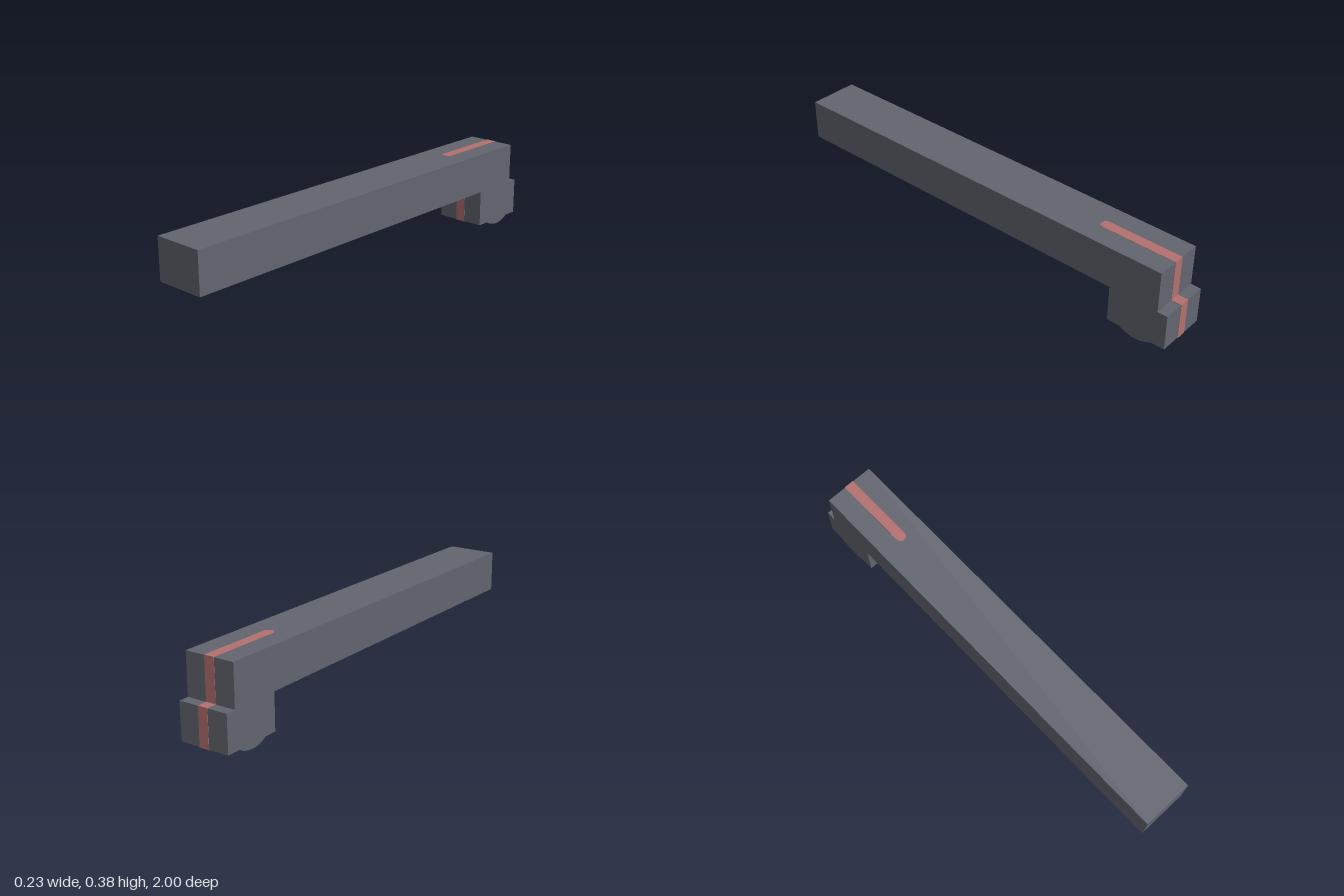
import * as THREE from 'three';
import { toCreasedNormals } from 'three/addons/utils/BufferGeometryUtils.js';

const TOP = 0.373, UNDER = 0.1875, BLOCK_BOTTOM = 0.0225;
const BUMP_Z = -0.86, BUMP_R = 0.143;

// Side outline in (z, y), starting at z = front and grown outwards by e
function sideProfile(front, e) {
  const bottom = BLOCK_BOTTOM - e;
  const a = Math.acos((BUMP_R - bottom) / (BUMP_R + e));
  const s = new THREE.Shape();
  s.moveTo(front, TOP + e);
  s.lineTo(-0.954 - e, TOP + e);
  s.lineTo(-0.954 - e, UNDER + e);
  s.lineTo(-1 - e, UNDER + e);
  s.lineTo(-1 - e, bottom);
  // rounded bump under the block
  s.absarc(BUMP_Z, BUMP_R, BUMP_R + e, -Math.PI / 2 - a, -Math.PI / 2 + a, false);
  s.lineTo(-0.724 + e, bottom);
  s.lineTo(-0.724 + e, UNDER - e);
  s.lineTo(front, UNDER - e);
  s.closePath();
  return s;
}

// Extrude a side outline across x, centred
function across(shape, width) {
  const g = new THREE.ExtrudeGeometry(shape, { depth: width, bevelEnabled: false, curveSegments: 24 });
  g.translate(0, 0, -width / 2);
  g.rotateY(-Math.PI / 2);
  return toCreasedNormals(g, 0.3);
}

export function createModel() {
  const grey = new THREE.MeshStandardMaterial({ color: 0x62656f });
  grey.name = 'slate grey';
  const red = new THREE.MeshStandardMaterial({ color: 0xb47070 });
  red.name = 'dusty red';

  const model = new THREE.Group();
  model.name = 'latchBar';
  const add = (name, geometry, material) => {
    const mesh = new THREE.Mesh(geometry, material);
    mesh.name = name;
    model.add(mesh);
    return mesh;
  };

  // Long bar with its hooked end block
  add('bar', across(sideProfile(1, 0), 0.231), grey);

  // Painted stripe wrapping the hooked end, standing just proud of the bar
  const e = 0.0015, half = 0.0232, stripeFront = -0.61;
  add('stripe', across(sideProfile(stripeFront, e), half * 2), red);

  // Round tip of the stripe, above and below the bar
  const tip = new THREE.CylinderGeometry(half, half, TOP - UNDER + 2 * e, 32);
  add('stripeTip', tip, red).position.set(0, (TOP + UNDER) / 2, stripeFront);

  return model;
}
